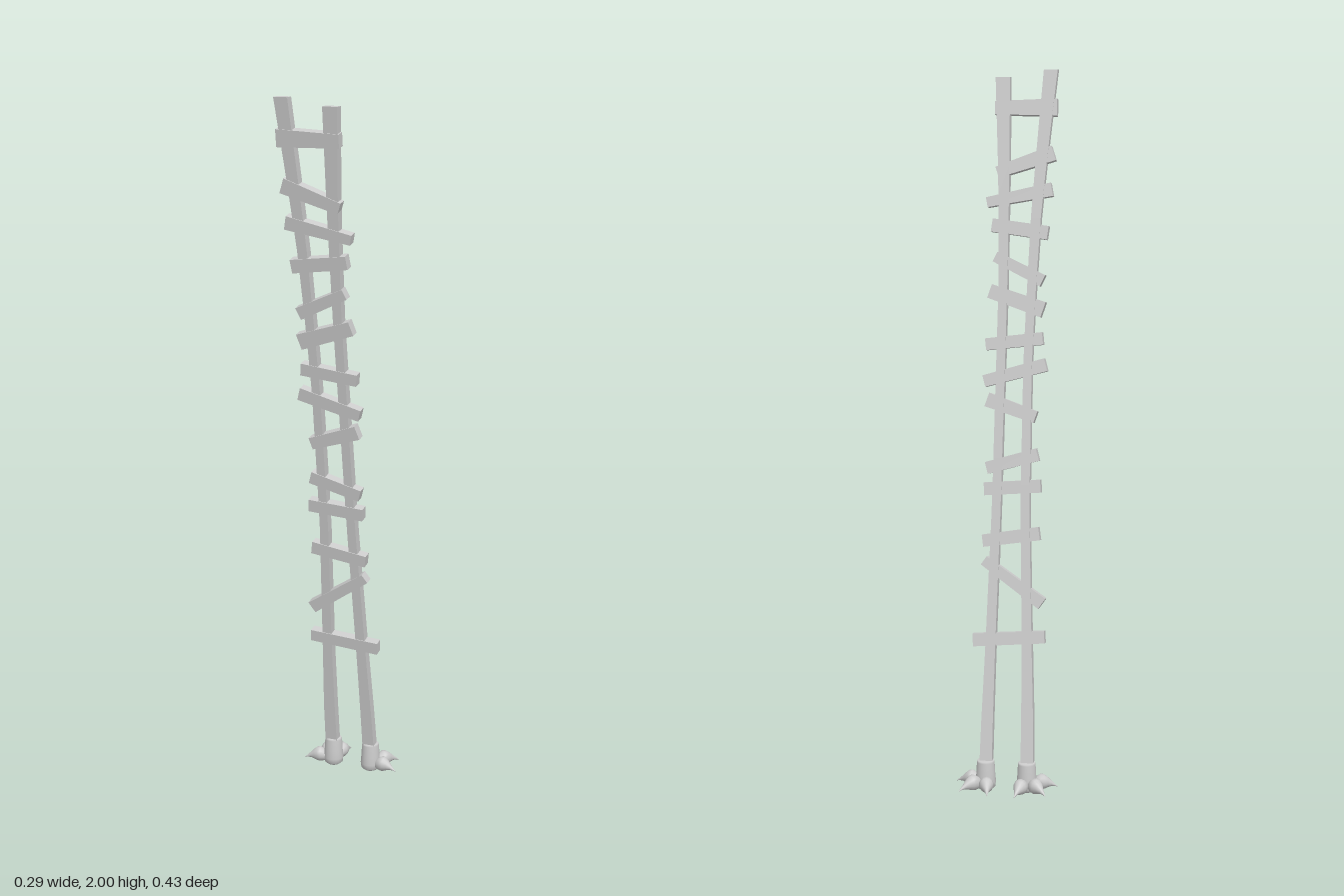
import * as THREE from 'three';

const flat = new THREE.MeshStandardMaterial({ color: 0xcccccc, flatShading: true });
const smooth = new THREE.MeshStandardMaterial({ color: 0xcccccc });

// The whole ladder leans forward along this line
const LEAN = 0.168;
const leanZ = (y) => -0.135 + y * LEAN;

function add(parent, name, geometry, material) {
  const mesh = new THREE.Mesh(geometry, material);
  mesh.name = name;
  parent.add(mesh);
  return mesh;
}

// Linear lookup in rows of [y, centre x, width]
function sample(rows, y) {
  let i = 0;
  while (i < rows.length - 2 && y > rows[i + 1][0]) i++;
  const [a, b] = [rows[i], rows[i + 1]];
  const t = (y - a[0]) / (b[0] - a[0]);
  return [a[1] + (b[1] - a[1]) * t, a[2] + (b[2] - a[2]) * t];
}

// Square pole, bowed sideways and thicker at its ends
function railGeometry(rows) {
  const bottom = rows[0][0], top = rows[rows.length - 1][0];
  const geo = new THREE.BoxGeometry(1, top - bottom, 0.027, 1, 24, 1);
  geo.translate(0, (top + bottom) / 2, 0);
  const p = geo.attributes.position;
  for (let i = 0; i < p.count; i++) {
    const y = p.getY(i);
    const [cx, w] = sample(rows, y);
    p.setXYZ(i, cx + p.getX(i) * w, y, p.getZ(i) + leanZ(y));
  }
  geo.computeVertexNormals();
  return geo;
}

// Rough plank between two end points, its height tapering from hl to hr
function rung(parent, [xl, yl, xr, yr, hl, hr]) {
  const length = Math.hypot(xr - xl, yr - yl);
  const geo = new THREE.BoxGeometry(length, 1, 0.027);
  const p = geo.attributes.position;
  for (let i = 0; i < p.count; i++) p.setY(i, p.getY(i) * (p.getX(i) < 0 ? hl : hr));
  geo.computeVertexNormals();
  geo.rotateZ(Math.atan2(yr - yl, xr - xl));
  const mesh = add(parent, 'rung', geo, flat);
  const y = (yl + yr) / 2;
  mesh.position.set((xl + xr) / 2, y, leanZ(y) + 0.002);
  mesh.rotation.x = Math.atan(LEAN);
}

// Swollen toe drawn out into a hooked claw, pointing along +z
function toeGeometry(length) {
  const profile = [[0, 0], [0.010, 0.06], [0.016, 0.2], [0.0205, 0.36], [0.019, 0.48],
    [0.013, 0.62], [0.007, 0.75], [0.003, 0.88], [0, 1]]
    .map(([r, t]) => new THREE.Vector2(r, t * length));
  const geo = new THREE.LatheGeometry(profile, 14);
  geo.rotateX(Math.PI / 2);
  const p = geo.attributes.position;
  for (let i = 0; i < p.count; i++) {
    const t = p.getZ(i) / length;
    p.setY(i, p.getY(i) * 1.1 + 0.012 * Math.sin(t * Math.PI) - 0.008 * t);
  }
  geo.computeVertexNormals();
  return geo;
}

// Ankle cuff with three clawed toes spread backward and outward
function foot(parent, x, side) {
  const group = new THREE.Group();
  group.name = side > 0 ? 'leftFoot' : 'rightFoot';
  group.position.set(x, 0, -0.125);
  parent.add(group);
  const cuff = [[0, 0.008], [0.02, 0.008], [0.027, 0.014], [0.029, 0.028], [0.027, 0.05],
    [0.025, 0.085], [0.023, 0.09], [0, 0.09]].map(([r, y]) => new THREE.Vector2(r, y));
  add(group, 'cuff', new THREE.LatheGeometry(cuff, 20), smooth);
  const tips = [[0.087, 0.018], [0.065, -0.07], [-0.021, -0.095]];
  for (const [tx, tz] of tips) {
    const dist = Math.hypot(tx, tz), start = 0.012;
    const dx = side * tx / dist, dz = tz / dist;
    const toe = add(group, 'toe', toeGeometry(dist - start), smooth);
    toe.position.set(dx * start, 0.025, dz * start);
    toe.rotation.y = Math.atan2(dx, dz);
  }
  // Round pad under the ankle
  const pad = add(group, 'pad', new THREE.SphereGeometry(0.02, 16, 10), smooth);
  pad.position.set(0, 0.02, 0);
}

export function createModel() {
  const ladder = new THREE.Group();
  ladder.name = 'ladder';

  // Rails: [y, centre x, width]
  add(ladder, 'rightRail', railGeometry([[0.04, -0.062, 0.036], [0.2, -0.059, 0.034],
    [0.4, -0.052, 0.028], [0.8, -0.035, 0.025], [1.2, -0.031, 0.024], [1.4, -0.036, 0.025],
    [1.6, -0.043, 0.028], [1.8, -0.057, 0.033], [2.0, -0.073, 0.039]]), flat);
  add(ladder, 'leftRail', railGeometry([[0.04, 0.056, 0.036], [0.2, 0.055, 0.033],
    [0.4, 0.052, 0.028], [0.8, 0.046, 0.025], [1.4, 0.045, 0.025],
    [1.7, 0.051, 0.031], [1.98, 0.062, 0.041]]), flat);

  // Rungs: left end x, y, right end x, y, end heights
  const rungs = [
    [-0.093, 1.895, 0.082, 1.893, 0.048, 0.037],
    [-0.087, 1.77, 0.071, 1.715, 0.043, 0.032],
    [-0.085, 1.67, 0.098, 1.632, 0.038, 0.028],
    [-0.077, 1.55, 0.082, 1.57, 0.038, 0.037],
    [-0.066, 1.418, 0.07, 1.483, 0.035, 0.03],
    [-0.07, 1.338, 0.083, 1.388, 0.045, 0.04],
    [-0.071, 1.26, 0.09, 1.24, 0.035, 0.033],
    [-0.082, 1.188, 0.092, 1.138, 0.037, 0.033],
    [-0.057, 1.042, 0.082, 1.088, 0.034, 0.04],
    [-0.066, 0.94, 0.078, 0.898, 0.036, 0.034],
    [-0.077, 0.853, 0.083, 0.84, 0.036, 0.036],
    [-0.077, 0.722, 0.083, 0.696, 0.037, 0.034],
    [-0.09, 0.528, 0.078, 0.643, 0.035, 0.028],
    [-0.1, 0.437, 0.103, 0.42, 0.034, 0.036],
  ];
  for (const r of rungs) rung(ladder, r);

  foot(ladder, -0.06, -1);
  foot(ladder, 0.057, 1);
  return ladder;
}
